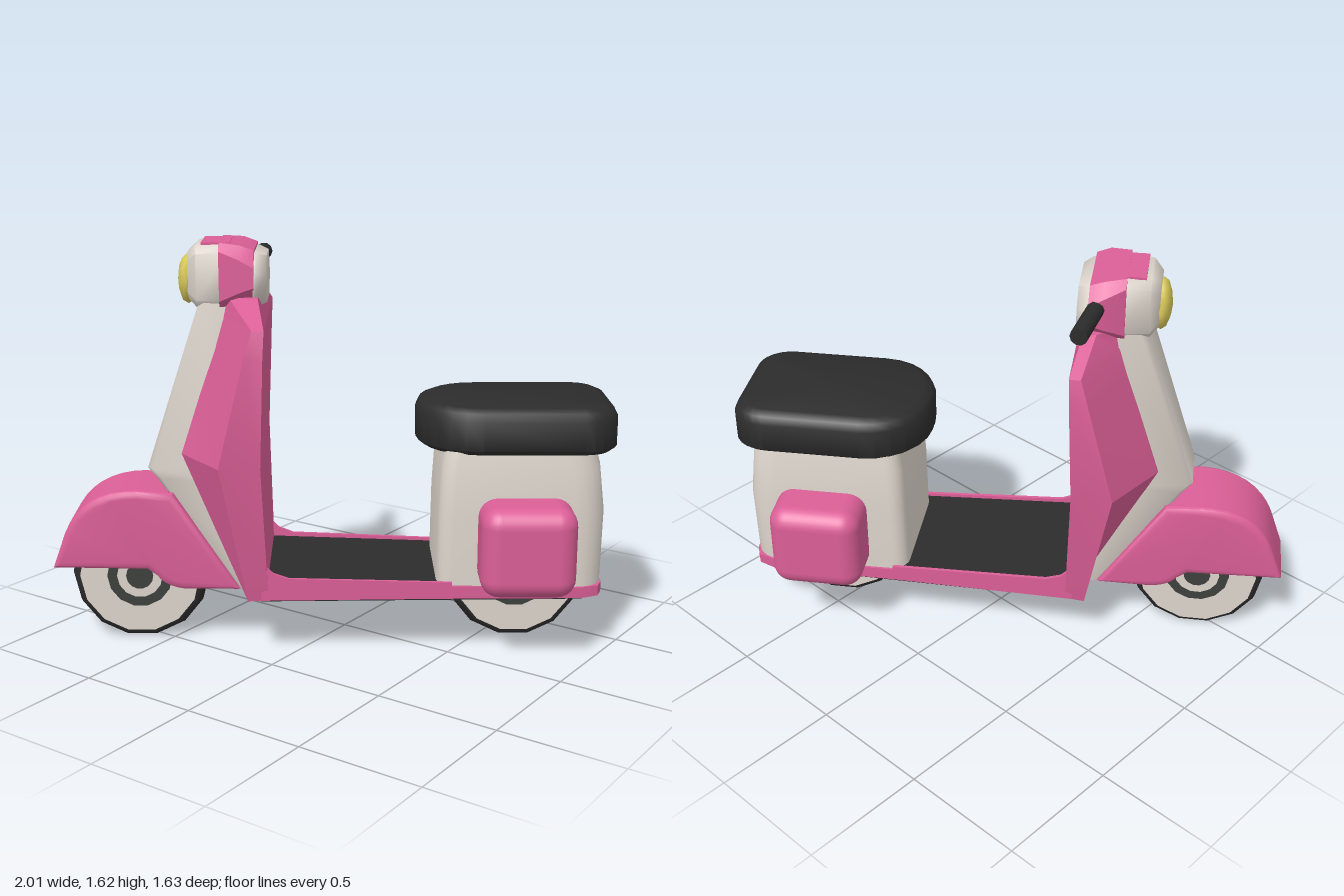
import * as THREE from 'three';
import { toCreasedNormals } from 'three/addons/utils/BufferGeometryUtils.js';
import { RoundedBoxGeometry } from 'three/addons/geometries/RoundedBoxGeometry.js';

const paint = (name, color) => {
  const m = new THREE.MeshStandardMaterial({ color });
  m.name = name;
  return m;
};

// Closed skin through equal-length rings of [x, y, z], capped at both ends and turned outward
function loft(rings, crease = 0.6) {
  const tris = [];
  const n = rings[0].length;
  const centre = (r) => [0, 1, 2].map((k) => r.reduce((s, p) => s + p[k], 0) / n);
  for (let i = 0; i < rings.length - 1; i++) {
    for (let j = 0; j < n; j++) {
      const k = (j + 1) % n, a = rings[i], b = rings[i + 1];
      tris.push([a[j], a[k], b[k]], [a[j], b[k], b[j]]);
    }
  }
  const first = rings[0], last = rings[rings.length - 1];
  const c0 = centre(first), c1 = centre(last);
  for (let j = 0; j < n; j++) {
    const k = (j + 1) % n;
    tris.push([c0, first[k], first[j]], [c1, last[j], last[k]]);
  }
  const [ox, oy, oz] = c0;
  const from = ([x, y, z]) => new THREE.Vector3(x - ox, y - oy, z - oz);
  let volume = 0;
  for (const [a, b, c] of tris) volume += from(a).dot(from(b).cross(from(c)));
  if (volume < 0) tris.forEach((t) => t.reverse());
  const g = new THREE.BufferGeometry();
  g.setAttribute('position', new THREE.Float32BufferAttribute(tris.flat(2), 3));
  return toCreasedNormals(g, crease);
}

// Rounded rectangle lying at height y, from front zf to back zb
function footprint(y, w, zf, zb, rf, rb, steps = 5) {
  const pts = [];
  [[1, zf, rf, 0], [-1, zf, rf, 1], [-1, zb, rb, 2], [1, zb, rb, 3]].forEach(([s, z, r, q]) => {
    const cz = z === zf ? z - r : z + r;
    for (let i = 0; i <= steps; i++) {
      const a = (q + i / steps) * Math.PI / 2;
      pts.push([s * (w - r) + r * Math.cos(a), y, cz + r * Math.sin(a)]);
    }
  });
  return pts;
}

// Upright rectangle at depth z, from x0 to x1 and y0 to y1
const slice = (z, x0, x1, y0, y1) => [[x0, y0, z], [x1, y0, z], [x1, y1, z], [x0, y1, z]];
const rect = (z, w, y0, y1) => slice(z, -w, w, y0, y1);

// Upright rectangle with cut corners
const octagon = (z, w, y0, y1, c) => [
  [-w + c, y0, z], [w - c, y0, z], [w, y0 + c, z], [w, y1 - c, z],
  [w - c, y1, z], [-w + c, y1, z], [-w, y1 - c, z], [-w, y0 + c, z]];

// Side profile extruded across the vehicle, centred on x, narrowing toward the nose
function acrossProfile(shape, depth, bevel, x) {
  const g = new THREE.ExtrudeGeometry(shape, {
    depth, bevelEnabled: bevel > 0, bevelSize: bevel, bevelThickness: 0.02,
    bevelOffset: -bevel, bevelSegments: 3, curveSegments: 8 });
  g.translate(0, 0, -depth / 2).rotateY(-Math.PI / 2).translate(x, 0, 0);
  const p = g.attributes.position;
  for (let i = 0; i < p.count; i++) p.setX(i, p.getX(i) * (1 - 0.4 * Math.max(0, p.getZ(i) - 0.85)));
  return toCreasedNormals(g, 0.6);
}

export function createModel() {
  const pink = paint('pink paint', 0xdb5f97);
  const cream = paint('cream paint', 0xddd5cc);
  const black = paint('black rubber', 0x2c2c2c);
  const grey = paint('dark grey metal', 0x3c403c);
  const yellow = paint('yellow lamp', 0xd9c95a);

  const scooter = new THREE.Group();
  scooter.name = 'scooter';
  const add = (name, geometry, material, parent = scooter) => {
    const mesh = new THREE.Mesh(geometry, material);
    mesh.name = name;
    parent.add(mesh);
    return mesh;
  };

  // Wheels: rubber tyre with stepped side discs
  for (const [name, z] of [['frontWheel', 0.83], ['rearWheel', -0.69]]) {
    const wheel = new THREE.Group();
    wheel.name = name;
    const half = [[0, 0.09], [0.245, 0.09], [0.266, 0.074], [0.277, 0.04]];
    const profile = [...half.map(([r, h]) => [r, -h]), ...half.slice().reverse()];
    const tyre = new THREE.LatheGeometry(profile.map((p) => new THREE.Vector2(...p)), 14);
    add('tyre', toCreasedNormals(tyre, 0.7), black, wheel);
    for (const [part, r, h, m] of [['whitewall', 0.242, 0.186, cream], ['rim', 0.132, 0.191, grey],
      ['hub', 0.092, 0.196, cream], ['axleCap', 0.055, 0.202, grey]]) {
      add(part, toCreasedNormals(new THREE.CylinderGeometry(r, r, h, 14), 0.6), m, wheel);
    }
    wheel.rotation.z = Math.PI / 2;
    wheel.position.set(0, 0.273, z);
    scooter.add(wheel);
  }

  // Front mudguard: two side plates joined by a curved roof, open below
  const side = new THREE.Shape();
  side.moveTo(1.17, 0.32);
  side.lineTo(1.115, 0.47);
  side.quadraticCurveTo(1.04, 0.648, 0.82, 0.648);
  side.lineTo(0.68, 0.635);
  side.lineTo(0.42, 0.235);
  side.lineTo(0.64, 0.235);
  side.quadraticCurveTo(0.72, 0.245, 0.75, 0.29);
  side.lineTo(0.79, 0.32);
  side.closePath();
  const roof = new THREE.Shape();
  roof.moveTo(1.17, 0.32);
  roof.lineTo(1.115, 0.47);
  roof.quadraticCurveTo(1.04, 0.648, 0.82, 0.648);
  roof.lineTo(0.7, 0.637);
  roof.lineTo(0.68, 0.605);
  roof.lineTo(0.82, 0.615);
  roof.quadraticCurveTo(1.01, 0.615, 1.085, 0.46);
  roof.lineTo(1.135, 0.32);
  roof.closePath();
  const mudguard = new THREE.Group();
  mudguard.name = 'frontMudguard';
  scooter.add(mudguard);
  add('mudguardRoof', acrossProfile(roof, 0.274, 0, 0), pink, mudguard);
  for (const s of [1, -1]) add('mudguardSide', acrossProfile(side, 0.01, 0.03, s * 0.14), pink, mudguard);

  // Leg shield: [y, rear half width, rear z, edge half width, edge z, centre half width, centre z]
  const shield = [
    [0.24, 0.29, 0.3, 0.3, 0.38, 0.15, 0.36],
    [0.8, 0.385, 0.32, 0.385, 0.48, 0.15, 0.64],
    [1.23, 0.405, 0.305, 0.405, 0.375, 0.13, 0.5],
    [1.33, 0.385, 0.3, 0.385, 0.345, 0.13, 0.47],
    [1.42, 0.2, 0.33, 0.2, 0.38, 0.13, 0.45],
  ].map(([y, wr, zr, wf, zf, g, zg]) => [
    [-wr, y, zr], [wr, y, zr], [wf, y, zf], [g, y, zg], [-g, y, zg], [-wf, y, zf]]);
  add('legShield', loft(shield, 0.3), pink);

  // Steering column cover: [y, back z, front z, back half width, front half width]
  const column = [
    [0.238, 0.32, 0.43, 0.165, 0.155], [0.69, 0.55, 0.745, 0.16, 0.125],
    [0.73, 0.55, 0.78, 0.16, 0.122], [1.4, 0.42, 0.56, 0.14, 0.12],
  ].map(([y, zb, zf, wb, wf]) => [
    [-wb, y, zb], [wb, y, zb], [wf, y, zf - 0.02], [wf - 0.02, y, zf], [0.02 - wf, y, zf], [-wf, y, zf - 0.02]]);
  add('columnCover', loft(column, 0.9), cream);

  // Handlebar head: cream nose, pink middle and cap, cream dash
  add('headNose', loft([octagon(0.605, 0.09, 1.4, 1.58, 0.03),
    octagon(0.57, 0.125, 1.37, 1.61, 0.03), octagon(0.45, 0.145, 1.37, 1.615, 0.03)], 0.9), cream);
  add('headShell', loft([octagon(0.48, 0.155, 1.37, 1.622, 0.03),
    octagon(0.4, 0.198, 1.39, 1.615, 0.05), octagon(0.345, 0.205, 1.4, 1.595, 0.06)]), pink);
  add('headCap', new THREE.BoxGeometry(0.21, 0.009, 0.11), pink).position.set(0, 1.616, 0.495);
  add('dash', loft([octagon(0.35, 0.196, 1.375, 1.585, 0.065),
    octagon(0.335, 0.196, 1.38, 1.583, 0.065), octagon(0.3, 0.165, 1.39, 1.57, 0.065)], 1), cream);
  const lamp = add('headlight', new THREE.IcosahedronGeometry(0.1, 1), yellow);
  lamp.scale.z = 0.4;
  lamp.position.set(0, 1.47, 0.61);

  // Single grip on the right
  const grip = add('handlebarGrip', new THREE.CylinderGeometry(0.034, 0.034, 0.25, 10), black);
  grip.rotation.set(0, -0.18, Math.PI / 2);
  grip.position.set(-0.287, 1.522, 0.355);

  // Floor pan with mat, raised side rims sweeping up to the shield, and underside
  add('floor', loft([rect(0.36, 0.295, 0.24, 0.312), rect(-0.4, 0.275, 0.24, 0.292),
    rect(-0.93, 0.27, 0.24, 0.285), rect(-1.0, 0.24, 0.24, 0.282), rect(-1.02, 0.19, 0.24, 0.282)]), pink);
  add('floorMat', loft([rect(0.32, 0.285, 0.308, 0.316), rect(-0.42, 0.266, 0.288, 0.296)]), black);
  for (const s of [1, -1]) {
    const rim = [[0.33, 0.298, 0.4], [0.28, 0.296, 0.352], [0.22, 0.293, 0.33], [-0.42, 0.277, 0.308]];
    add('floorRim', loft(rim.map(([z, w, y]) => slice(z, s * (w - 0.014), s * w, 0.25, y))), pink);
  }
  add('underside', loft([rect(0.33, 0.285, 0.234, 0.242), rect(-0.93, 0.26, 0.234, 0.242),
    rect(-1.01, 0.19, 0.234, 0.242)]), black);

  // Rear body
  add('rearBody', loft([footprint(0.28, 0.265, -0.36, -1.02, 0.06, 0.12),
    footprint(0.58, 0.268, -0.365, -1.025, 0.06, 0.12), footprint(0.76, 0.258, -0.375, -1.005, 0.06, 0.12),
    footprint(0.84, 0.245, -0.39, -0.98, 0.06, 0.12)]), cream);

  // Seat cushion
  const cushion = [[0.82, 0.025], [0.84, 0], [0.955, 0], [0.985, 0.015], [1.0, 0.05]].map(([y, inset]) =>
    footprint(y, 0.28 - inset, -0.283 - inset, -1.065 + inset, 0.25 - inset, 0.14 - inset, 6));
  add('seat', loft(cushion, 0.9), black);

  // Side pods, mirrored
  for (const [name, s] of [['leftPod', 1], ['rightPod', -1]]) {
    const pod = add(name, new RoundedBoxGeometry(0.26, 0.36, 0.37, 4, 0.075), pink);
    pod.position.set(s * 0.322, 0.47, -0.703);
  }

  // Turn the vehicle to its parked heading
  scooter.rotation.y = THREE.MathUtils.degToRad(-55);
  scooter.position.set(0.023, 0, 0.033);
  const model = new THREE.Group();
  model.name = 'parkedScooter';
  model.add(scooter);
  return model;
}
